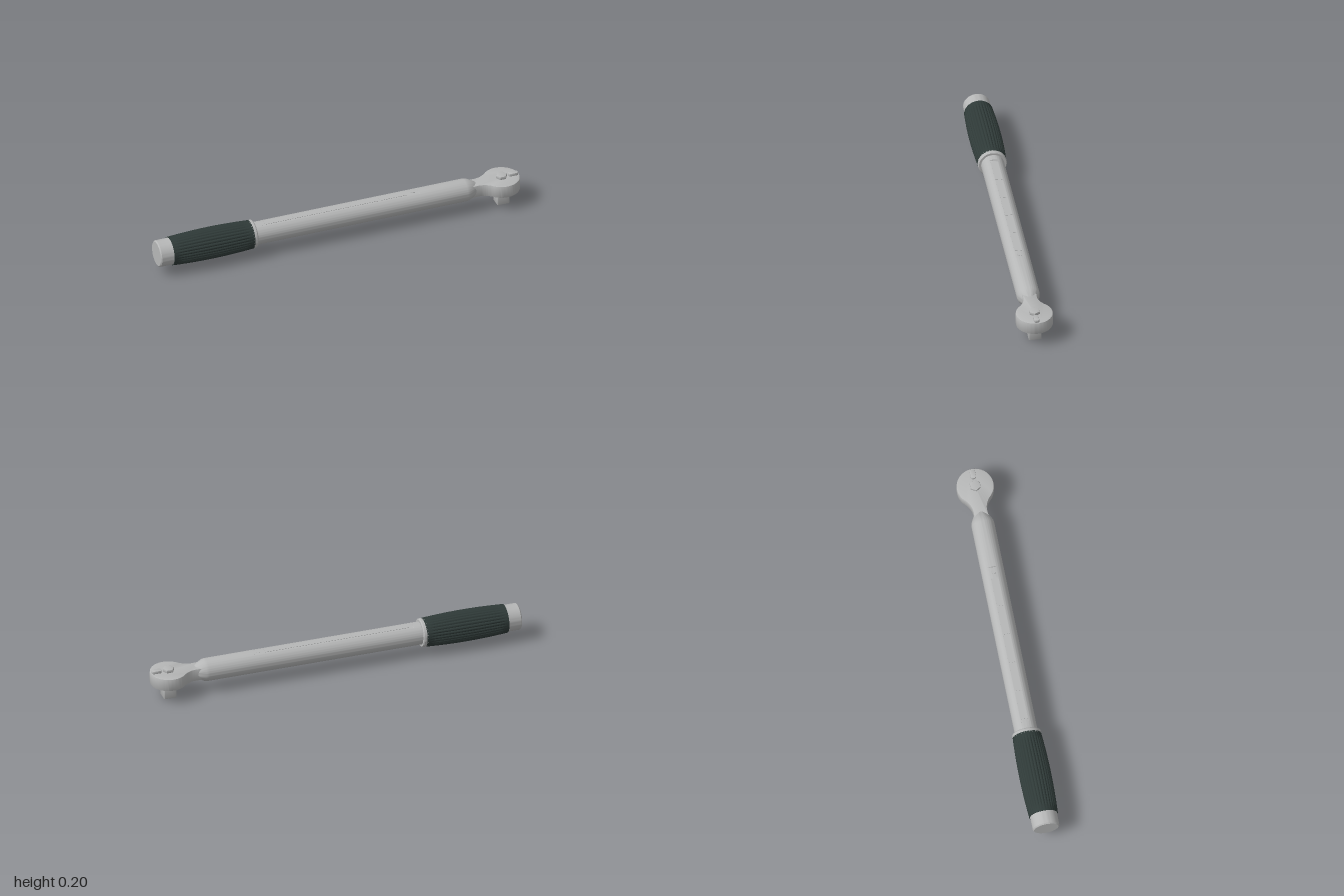
import * as THREE from 'three';
import { toCreasedNormals } from 'three/addons/utils/BufferGeometryUtils.js';

const AXIS = 0.117; // height of the handle axis

export function createModel() {
  const root = new THREE.Group();
  root.name = 'torqueWrench';
  const steel = new THREE.MeshStandardMaterial({ color: 0xb6b7b7 });
  steel.name = 'satin steel';
  const rubber = new THREE.MeshStandardMaterial({ color: 0x2f3a38 });
  rubber.name = 'dark rubber';

  function add(name, geometry, material, x = 0, y = 0, z = 0) {
    const mesh = new THREE.Mesh(toCreasedNormals(geometry, 0.5), material);
    mesh.name = name;
    mesh.position.set(x, y, z);
    root.add(mesh);
    return mesh;
  }

  // Turned solid along x from [x, radius] pairs, optionally reshaped per vertex
  function turned(name, profile, material, segments = 64, reshape) {
    const points = profile.map(([x, r]) => new THREE.Vector2(r, x));
    const geo = new THREE.LatheGeometry(points, segments).rotateZ(-Math.PI / 2);
    if (reshape) {
      const p = geo.attributes.position;
      const v = new THREE.Vector3();
      for (let i = 0; i < p.count; i++) {
        reshape(v.fromBufferAttribute(p, i));
        p.setXYZ(i, v.x, v.y, v.z);
      }
    }
    return add(name, geo, material, 0, AXIS, 0);
  }

  // Plan outline raised upward, with small bevels
  function raised(shape, height, bevel) {
    return new THREE.ExtrudeGeometry(shape, {
      depth: height - 2 * bevel, bevelEnabled: true, bevelThickness: bevel,
      bevelSize: bevel, bevelOffset: -bevel, bevelSegments: 2, curveSegments: 32,
    }).rotateX(-Math.PI / 2).translate(0, bevel, 0);
  }

  // Rounded rectangle outline centred on the origin
  function roundedRect(w, d, r) {
    const s = new THREE.Shape();
    s.absarc(w / 2 - r, d / 2 - r, r, 0, Math.PI / 2);
    s.absarc(-w / 2 + r, d / 2 - r, r, Math.PI / 2, Math.PI);
    s.absarc(-w / 2 + r, -d / 2 + r, r, Math.PI, Math.PI * 1.5);
    s.absarc(w / 2 - r, -d / 2 + r, r, Math.PI * 1.5, Math.PI * 2);
    s.closePath();
    return s;
  }

  // End cap and grip collar
  turned('endCap', [[-1, 0], [-1, 0.064], [-0.994, 0.07], [-0.94, 0.07],
    [-0.925, 0.072], [-0.92, 0]], steel);
  turned('gripCollar', [[-0.49, 0], [-0.49, 0.075], [-0.47, 0.075],
    [-0.464, 0.071], [-0.464, 0]], steel);

  // Ribbed, slightly barrel-shaped grip
  const gripStart = -0.927, gripEnd = -0.483, rows = 20;
  const gripProfile = [[gripStart, 0]];
  for (let i = 0; i <= rows; i++) {
    const t = i / rows;
    const bulge = 1 - (2 * t - 1) ** 2;
    gripProfile.push([gripStart + t * (gripEnd - gripStart), 0.075 + 0.008 * bulge]);
  }
  gripProfile.push([gripEnd, 0]);
  turned('grip', gripProfile, rubber, 180, (v) => {
    const t = (v.x - gripStart) / (gripEnd - gripStart);
    const fade = Math.min(1, Math.max(0, Math.min(t, 1 - t) * 10));
    const groove = 1 - Math.abs(Math.sin(Math.atan2(v.z, v.y) * 15));
    const k = 1 - 0.05 * fade * groove;
    v.y *= k;
    v.z *= k;
  });

  // Tube with a long flat milled along the top and a tapered nose
  const flatStart = -0.425, flatEnd = 0.44, flatY = 0.0535;
  turned('tube', [[-0.49, 0.06], [flatStart, 0.06], [flatStart + 0.002, 0.06],
    [flatEnd - 0.002, 0.06], [flatEnd, 0.06], [0.695, 0.06], [0.71, 0.058],
    [0.74, 0.043], [0.75, 0.036], [0.765, 0.028], [0.775, 0]], steel, 64, (v) => {
    if (v.x > flatStart + 0.001 && v.x < flatEnd - 0.001) v.y = Math.min(v.y, flatY);
  });

  // Scale plates and end button on the flat
  const plateCount = 5, pitch = 0.158;
  for (let i = 0; i < plateCount; i++) {
    add('scalePlate', new THREE.BoxGeometry(pitch - 0.004, 0.003, 0.038), steel,
      -0.41 + pitch * (i + 0.5), AXIS + flatY, 0);
  }
  add('scaleButton', new THREE.CylinderGeometry(0.012, 0.012, 0.004, 24), steel,
    0.412, AXIS + flatY, 0);

  // Ratchet head flowing into a waisted neck
  const headX = 0.9, headR = 0.096, a = Math.PI * 0.75;
  const jx = headX + headR * Math.cos(a), jz = headR * Math.sin(a);
  const waist = 0.034;
  const bend = jx - (jz - waist);
  const head = new THREE.Shape();
  head.moveTo(0.725, -0.038);
  head.lineTo(0.755, -0.036);
  head.quadraticCurveTo(bend, -waist, jx, -jz);
  head.absarc(headX, 0, headR, -a, a, false);
  head.quadraticCurveTo(bend, waist, 0.755, 0.036);
  head.lineTo(0.725, 0.038);
  head.closePath();
  add('ratchetHead', raised(head, 0.068, 0.004), steel, 0, 0.081, 0);

  // Square drive, release button and reversing lever
  add('squareDrive', raised(roundedRect(0.068, 0.068, 0.008), 0.09, 0.004), steel, headX, 0, 0);
  const hex = new THREE.Shape();
  for (let i = 0; i < 6; i++) {
    const t = i * Math.PI / 3;
    hex[i ? 'lineTo' : 'moveTo'](0.03 * Math.cos(t), 0.03 * Math.sin(t));
  }
  hex.closePath();
  add('releaseButton', raised(hex, 0.02, 0.003), steel, headX, 0.145, 0);
  add('reversingLever', raised(roundedRect(0.052, 0.028, 0.011), 0.019, 0.003), steel,
    0.964, 0.145, 0);

  return root;
}
